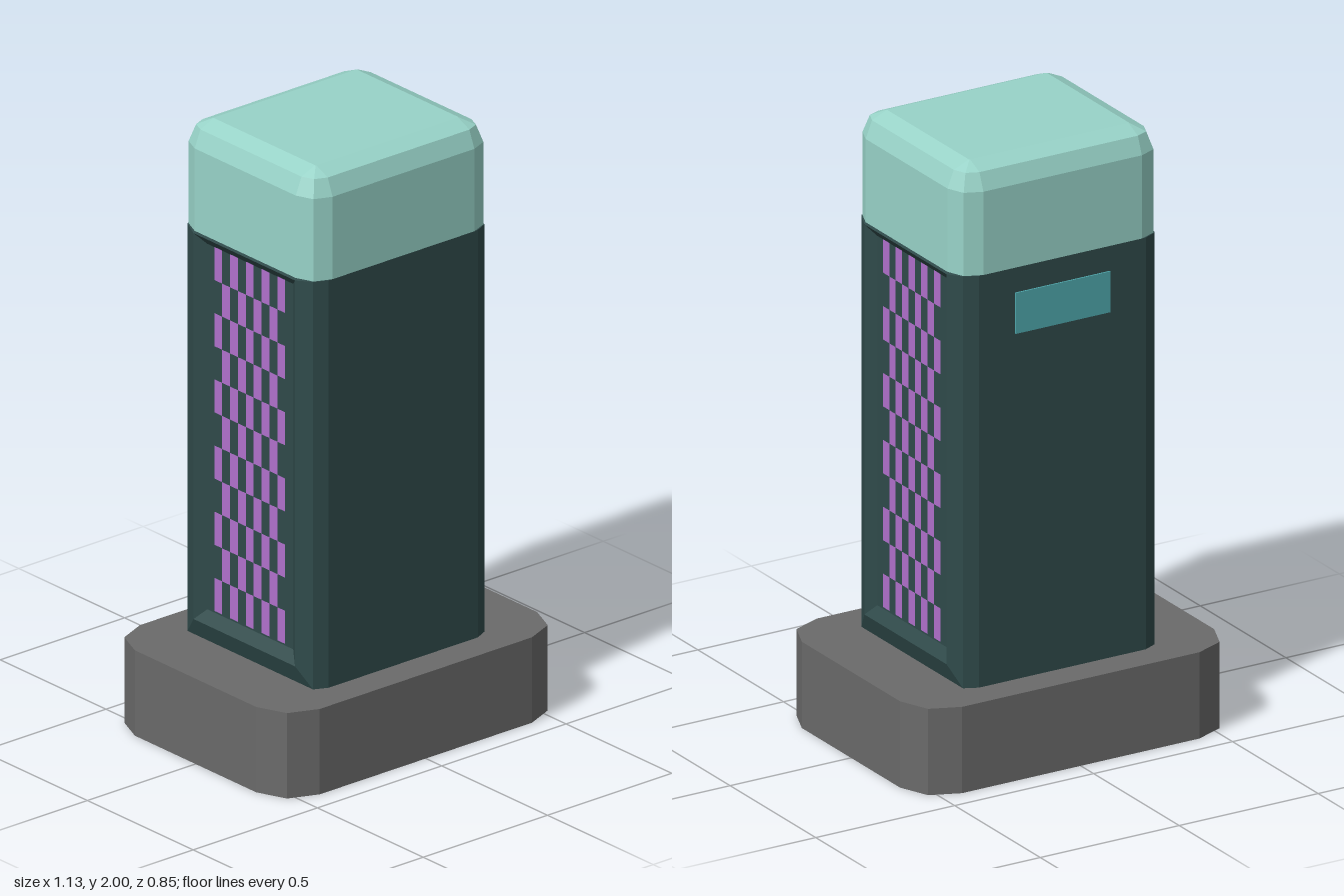
import * as THREE from 'three';
import { mergeGeometries } from 'three/addons/utils/BufferGeometryUtils.js';

const mat = (color) => new THREE.MeshStandardMaterial({ color, flatShading: true });

// Skin between cross-sections (equal-length loops of [x, y, z]), optionally closed by end caps.
function loft(rings, caps = true) {
  const pos = [];
  const tri = (a, b, c) => pos.push(...a, ...b, ...c);
  const n = rings[0].length;
  for (let r = 0; r < rings.length - 1; r++) {
    for (let i = 0; i < n; i++) {
      const j = (i + 1) % n;
      const [a, b, c, d] = [rings[r][i], rings[r][j], rings[r + 1][j], rings[r + 1][i]];
      tri(a, b, c);
      tri(a, c, d);
    }
  }
  if (caps) {
    const first = rings[0], last = rings[rings.length - 1];
    for (let i = 1; i < n - 1; i++) {
      tri(first[0], first[i + 1], first[i]);
      tri(last[0], last[i], last[i + 1]);
    }
  }
  const g = new THREE.BufferGeometry();
  g.setAttribute('position', new THREE.Float32BufferAttribute(pos, 3));
  g.computeVertexNormals();
  return g;
}

// Horizontal rounded rectangle with two facets per corner, counter-clockwise seen from above.
function section(hx, hz, radius, y) {
  const pts = [];
  for (let q = 0; q < 4; q++) {
    const sx = q === 0 || q === 3 ? 1 : -1;
    const sz = q < 2 ? -1 : 1;
    for (let k = 0; k < 3; k++) {
      const a = (q * 2 + k) * Math.PI / 4;
      pts.push([sx * (hx - radius) + radius * Math.cos(a), y, sz * (hz - radius) - radius * Math.sin(a)]);
    }
  }
  return pts;
}

// Upright rectangle facing +x, counter-clockwise seen from outside.
const upright = (x, hz, y0, y1) => [[x, y0, hz], [x, y0, -hz], [x, y1, -hz], [x, y1, hz]];

export function createModel() {
  const group = new THREE.Group();
  const add = (parent, name, geometry, material) => {
    const mesh = new THREE.Mesh(geometry, material);
    mesh.name = name;
    parent.add(mesh);
    return mesh;
  };
  const bodyMat = mat(0x2f4a4a);
  const tileMat = mat(0xb070cc);

  // Plinth
  add(group, 'base', loft([section(0.565, 0.425, 0.138, 0), section(0.565, 0.425, 0.138, 0.285)]), mat(0x6a6a6a));

  // Main column with narrow chamfers towards the sides
  const core = (y) => [
    [0.345, y, 0.297], [0.345, y, -0.297], [0.3, y, -0.318], [-0.3, y, -0.318],
    [-0.345, y, -0.297], [-0.345, y, 0.297], [-0.3, y, 0.318], [0.3, y, 0.318],
  ];
  add(group, 'body', loft([core(0.285), core(1.645)]), bodyMat);

  // Rounded lid
  const lid = [[1.645, 0], [1.92, 0], [1.977, 0.023], [2, 0.077]];
  add(group, 'cap', loft(lid.map(([y, t]) => section(0.365 - t, 0.319 - t, 0.08 - t, y))), mat(0x98d3c8));

  // Raised bevelled frame and chequered grille, the same on both sides
  const tiles = [];
  const rows = 11, cols = 9, w = 0.335 / cols, h = 1.215 / rows;
  for (let r = 0; r < rows; r++) {
    for (let c = r % 2; c < cols; c += 2) {
      const tile = new THREE.PlaneGeometry(w, h).rotateY(Math.PI / 2);
      tiles.push(tile.translate(0.347, 0.395 + (r + 0.5) * h, (c - (cols - 1) / 2) * w));
    }
  }
  const grille = mergeGeometries(tiles);
  const frame = loft([
    upright(0.345, 0.297, 0.285, 1.645),
    upright(0.369, 0.24, 0.35, 1.638),
    upright(0.345, 0.203, 0.388, 1.608),
  ], false);
  ['leftSide', 'rightSide'].forEach((name, i) => {
    const side = new THREE.Group();
    side.name = name;
    side.rotation.y = i * Math.PI;
    add(side, 'sideFrame', frame, bodyMat);
    add(side, 'grilleTiles', grille, tileMat);
    group.add(side);
  });

  // Small display plate on the back
  add(group, 'backDisplay', new THREE.BoxGeometry(0.34, 0.135, 0.012), mat(0x4fa8ad)).position.set(0, 1.495, -0.317);

  return group;
}
